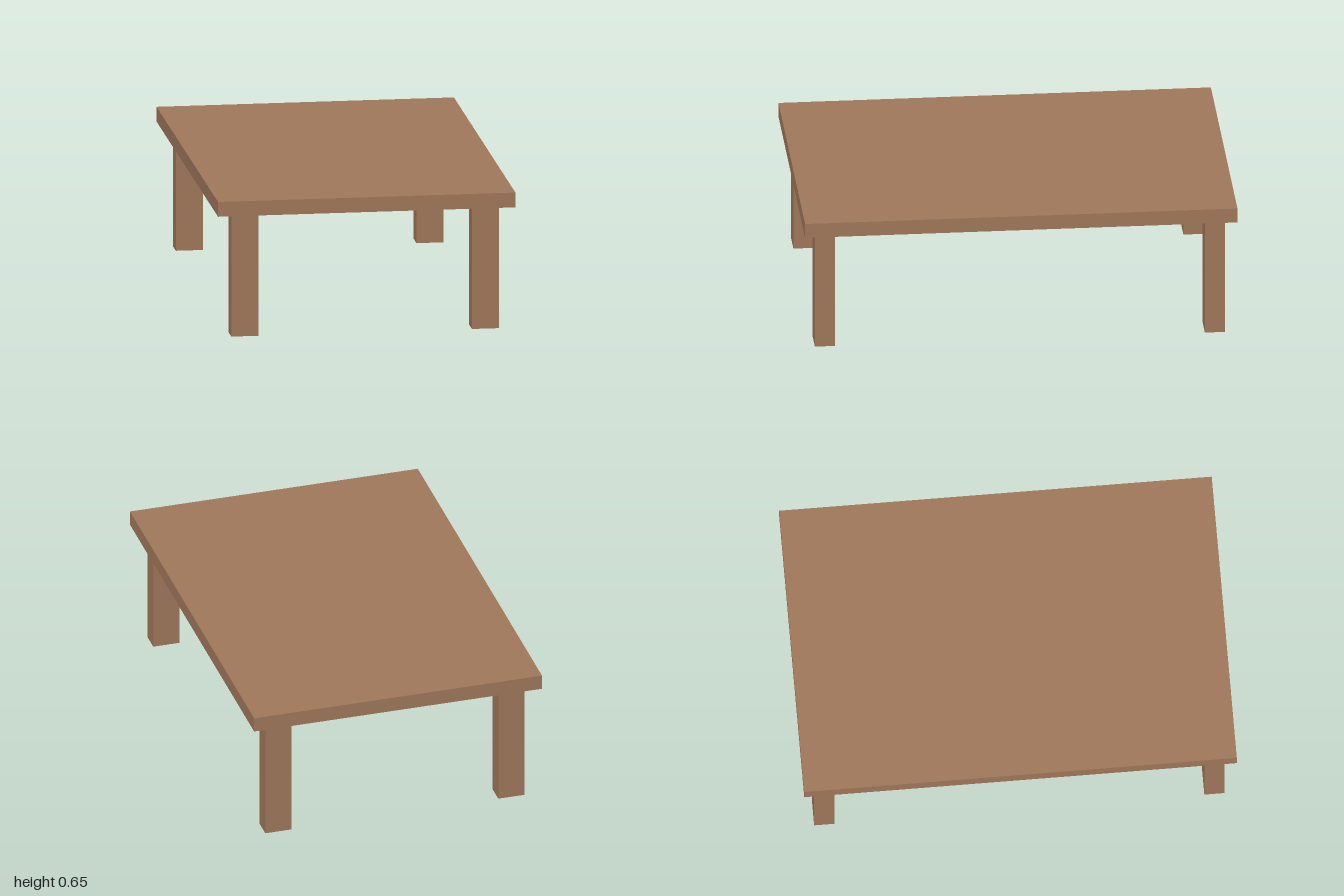
import * as THREE from 'three';

export function createModel() {
  const table = new THREE.Group();
  table.name = 'table';
  const wood = new THREE.MeshStandardMaterial({ color: 0xa0785a });

  function addBox(name, size, position) {
    const mesh = new THREE.Mesh(new THREE.BoxGeometry(...size), wood);
    mesh.name = name;
    mesh.position.set(...position);
    table.add(mesh);
  }

  // Flat slab top
  const height = 0.65, thickness = 0.07;
  const legHeight = height - thickness;
  addBox('tableTop', [1.384, thickness, 2], [0, height - thickness / 2, 0]);

  // Four legs, wider across x than z, inset from the corners
  for (const [side, sx] of [['Left', 1], ['Right', -1]]) {
    for (const [end, sz] of [['front', 1], ['back', -1]]) {
      addBox(`${end}${side}Leg`, [0.126, legHeight, 0.093], [sx * 0.56, legHeight / 2, sz * 0.902]);
    }
  }

  return table;
}
